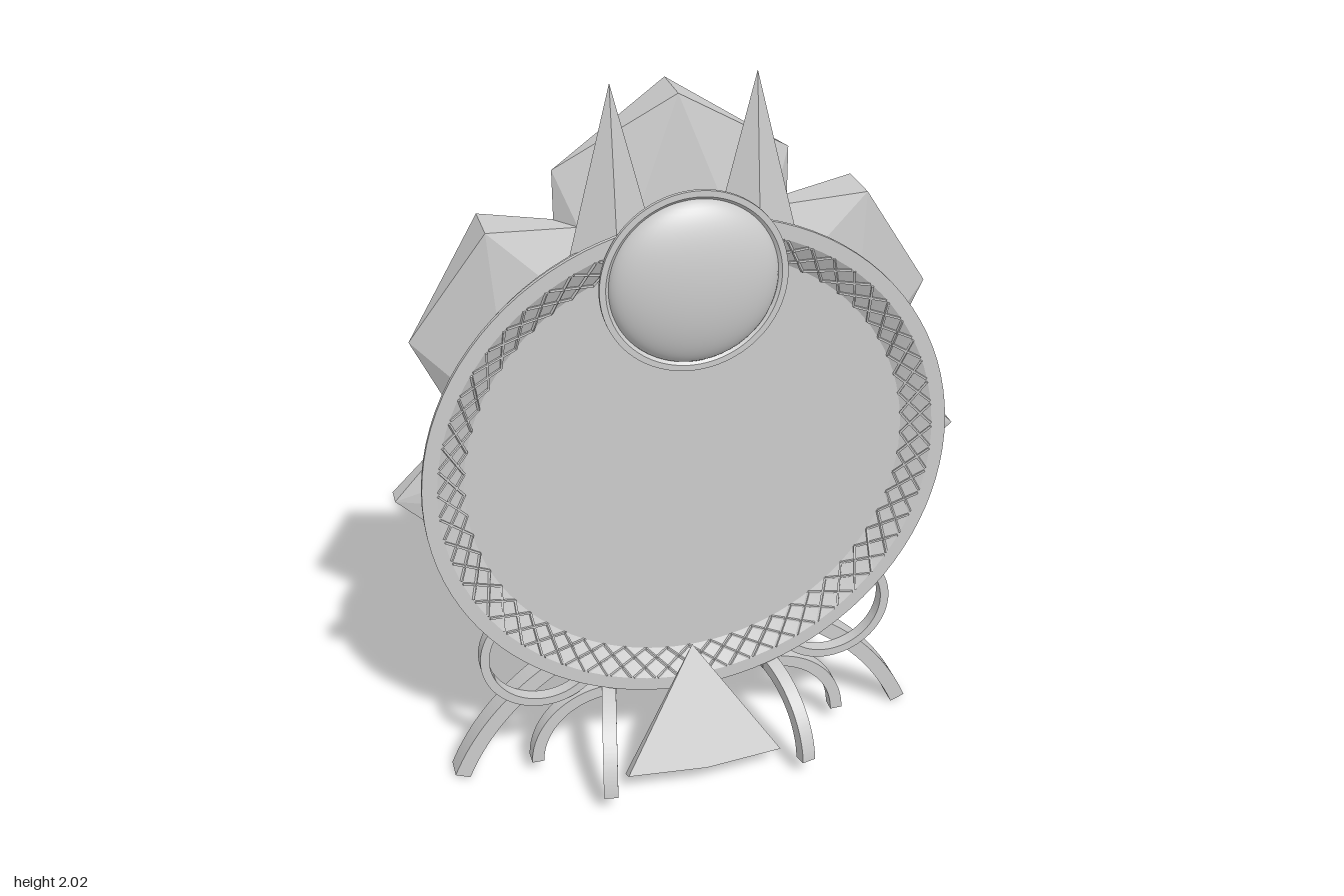
import * as THREE from 'three';
import { mergeGeometries, toCreasedNormals } from 'three/addons/utils/BufferGeometryUtils.js';
import { ConvexGeometry } from 'three/addons/geometries/ConvexGeometry.js';

const smooth = new THREE.MeshStandardMaterial({ color: 0xcccccc });
const faceted = new THREE.MeshStandardMaterial({ color: 0xcccccc, flatShading: true });
const DISC_Y = 0.945;

export function createModel() {
  const model = new THREE.Group();

  function add(name, geometry, material, x, y, z, parent = model) {
    const mesh = new THREE.Mesh(geometry, material);
    mesh.name = name;
    mesh.position.set(x, y, z);
    parent.add(mesh);
    return mesh;
  }

  // Turned disc facing +z, from [radius, z] pairs running back to front
  function disc(profile) {
    const points = profile.map(([r, z]) => new THREE.Vector2(r, z));
    const geometry = new THREE.LatheGeometry(points, 96);
    geometry.rotateX(Math.PI / 2);
    return toCreasedNormals(geometry, 0.4);
  }

  // Stretched icosahedron; hx, hy, hz are its half extents
  function crystal(name, hx, hy, hz, x, y, z, tilt = 0) {
    const geometry = new THREE.IcosahedronGeometry(1, 0);
    geometry.rotateY(Math.PI / 2);
    geometry.scale(hx / 0.8507, hy / 0.8507, hz / 0.8507);
    geometry.rotateZ(tilt);
    add(name, geometry, faceted, x, y, z);
  }

  // Flat curved bar in the xy plane, angles in degrees
  function arcBar(inner, outer, from, to, depth) {
    const a = THREE.MathUtils.degToRad(from);
    const b = THREE.MathUtils.degToRad(to);
    const shape = new THREE.Shape();
    shape.absarc(0, 0, outer, a, b, false);
    shape.absarc(0, 0, inner, b, a, true);
    const geometry = new THREE.ExtrudeGeometry(shape, { depth, bevelEnabled: false, curveSegments: 32 });
    geometry.translate(0, 0, -depth / 2);
    return toCreasedNormals(geometry, 0.5);
  }

  // Round frame, backing and flat face
  add('frame', disc([
    [0, -0.035], [0.69, -0.035], [0.69, -0.02], [0.67, -0.02], [0.72, 0.03],
    [0.72, 0.042], [0.68, 0.042], [0.605, 0], [0, 0],
  ]), smooth, 0, DISC_Y, 0);

  // Crossed strands on the sloping inside of the frame
  const strands = [];
  const count = 60;
  const polar = (r, angle, z) => new THREE.Vector3(r * Math.cos(angle), r * Math.sin(angle), z);
  for (let i = 0; i < count; i++) {
    for (const lean of [-1, 1]) {
      const angle = (i / count) * Math.PI * 2;
      const start = polar(0.605, angle, 0.003);
      const end = polar(0.678, angle + lean * 0.15, 0.043);
      const geometry = new THREE.BoxGeometry(0.006, 0.006, start.distanceTo(end));
      const holder = new THREE.Object3D();
      holder.position.copy(start).lerp(end, 0.5);
      holder.lookAt(end);
      holder.updateMatrix();
      strands.push(geometry.applyMatrix4(holder.matrix));
    }
  }
  add('lattice', mergeGeometries(strands), faceted, 0, DISC_Y, 0);

  // Domed jewel in its own small ring
  add('jewelRing', disc([
    [0, 0.025], [0.225, 0.025], [0.245, 0.052], [0.245, 0.062], [0.229, 0.062], [0.21, 0.045], [0, 0.045],
  ]), smooth, 0, 1.5, 0);
  const dome = new THREE.SphereGeometry(1, 48, 32);
  dome.scale(0.222, 0.222, 0.077);
  add('jewel', dome, smooth, 0, 1.5, 0.048);

  // Crystals behind the disc
  crystal('centreCrystal', 0.31, 0.5, 0.105, 0, 1.44, -0.157);
  crystal('wideCrystal', 0.31, 0.78, 0.04, 0, 0.925, -0.07, Math.PI / 2);
  for (const s of [-1, 1]) {
    crystal('sideCrystal', 0.31, 0.5, 0.105, s * 0.29, 1.185, -0.13, -s * 0.43);
  }

  // Pointed horns
  for (const s of [-1, 1]) {
    const horn = new THREE.ConeGeometry(1, 0.47, 4);
    horn.scale(0.12, 1, 0.055);
    add('horn', horn, faceted, s * 0.185, 1.765, -0.038);
  }

  // Leaning beak at the foot of the disc
  const beakPoints = [[0, 0.37, 0.04], [0, 0.05, 0.2], [0, 0.022, 0.13]];
  for (const s of [-1, 1]) beakPoints.push([s * 0.225, 0.052, 0.18], [s * 0.225, 0.03, 0.14]);
  add('beak', new ConvexGeometry(beakPoints.map((p) => new THREE.Vector3(...p))), faceted, 0, 0, 0);

  // Large arch standing behind the disc
  const archAngle = 22.8;
  add('rearArch', arcBar(0.7, 0.745, archAngle, 180 - archAngle, 0.06), smooth, 0, -0.289, -0.05);

  // Scroll and three toes on each side
  for (const s of [-1, 1]) {
    const [from, to] = s > 0 ? [-150, 50] : [130, 330];
    add('scroll', arcBar(0.153, 0.178, from, to, 0.036), smooth, s * 0.42, 0.405, 0);
    const foot = new THREE.Group();
    foot.name = 'foot';
    foot.position.set(s * 0.235, 0.025, 0);
    model.add(foot);
    const toes = [['sideToe', 0, 1], ['frontToe', -77, 4], ['backToe', 117, 16]];
    for (const [name, heading, lift] of toes) {
      const toe = add(name, arcBar(0.2, 0.235, lift, 95, 0.04), smooth, 0, 0, 0, foot);
      if (name !== 'sideToe') toe.scale.x = 1.06;
      toe.rotation.y = THREE.MathUtils.degToRad(s > 0 ? heading : 180 - heading);
    }
  }

  return model;
}
